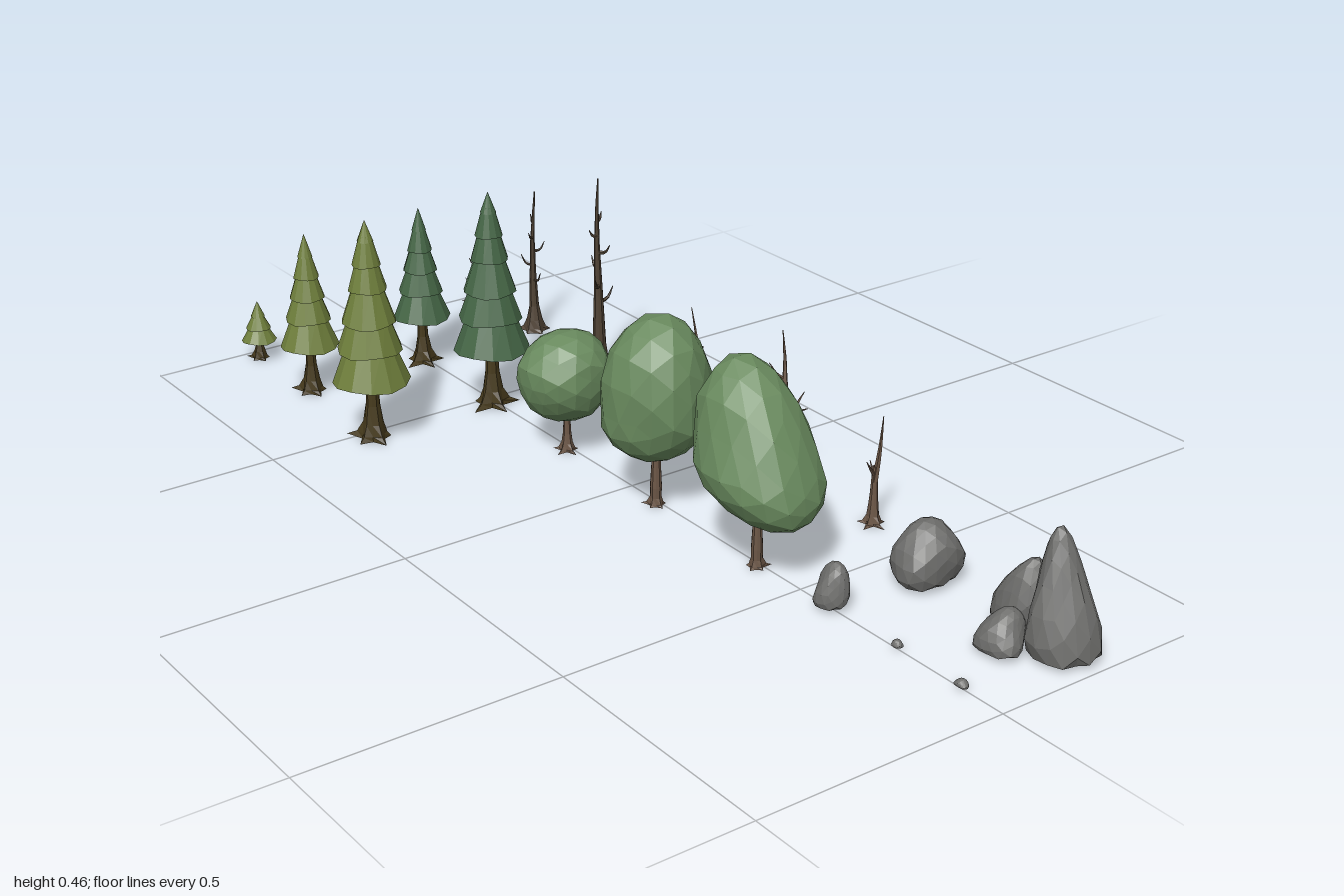
import * as THREE from 'three';

const mat = (color) => new THREE.MeshStandardMaterial({ color, flatShading: true, roughness: 1, side: THREE.DoubleSide });
const M = {
  olive: mat(0x6f7f3c), pine: mat(0x456646), leaf: mat(0x698a5e), pineBark: mat(0x463a1c),
  deadBark: mat(0x4f4234), bark: mat(0x6b5646), rock: mat(0x6d6d6b),
};

function add(parent, name, geometry, material) {
  const mesh = new THREE.Mesh(geometry, material);
  mesh.name = name;
  parent.add(mesh);
  return mesh;
}

function place(root, name, x, z) {
  const g = new THREE.Group();
  g.name = name;
  g.position.set(x, 0, z);
  root.add(g);
  return g;
}

// Move every vertex by a rule
function warp(geo, rule) {
  const p = geo.attributes.position, v = new THREE.Vector3();
  for (let i = 0; i < p.count; i++) {
    rule(v.fromBufferAttribute(p, i), i);
    p.setXYZ(i, v.x, v.y, v.z);
  }
  geo.computeVertexNormals();
  return geo;
}

// Trunk with star-shaped root flare: h height, r trunk radius, R root reach, tip radius
function trunkGeometry(h, r, R, tip, seed, bend = 0) {
  const pts = [[R, 0.003], [R * 0.62, R * 0.22], [Math.max(R * 0.38, r), R * 0.6], [r * 1.1, R * 1.25]];
  const y0 = R * 1.25;
  for (const t of [0.3, 0.6, 0.85, 1]) pts.push([r + (tip - r) * t, y0 + (h - y0) * t]);
  const n = 10;
  const geo = new THREE.LatheGeometry(pts.map(([x, y]) => new THREE.Vector2(x, y)), n);
  const lobe = [0.62, 0.42, 0.18, 0.08];
  return warp(geo, (v, i) => {
    const row = i % pts.length, k = Math.floor(i / pts.length) % n;
    const amount = lobe[row] ?? 0.05;
    const f = k % 2 ? 1 - amount : 1 - amount * 0.35 * (1 + Math.sin(k * 2.3 + seed));
    v.x *= f;
    v.z *= f;
    const t = v.y / h;
    v.x += bend * t * Math.sin(t * 5 + seed);
    v.z += bend * t * Math.cos(t * 4 + seed);
  });
}

// Tapered limb along a curve
function limbGeometry(points, r0, r1 = 0.0008) {
  const curve = new THREE.CatmullRomCurve3(points.map((p) => new THREE.Vector3(...p)));
  const seg = 6, sides = 5;
  const geo = new THREE.TubeGeometry(curve, seg, 1, sides);
  return warp(geo, (v, i) => {
    const t = Math.floor(i / (sides + 1)) / seg;
    const c = curve.getPointAt(t);
    v.sub(c).multiplyScalar(r0 + (r1 - r0) * t).add(c);
  });
}

// Conifer: stacked open skirts, each [bottom y, radius], around a trunk
function conifer(root, name, x, z, h, tiers, r, R, material) {
  const g = place(root, name, x, z);
  add(g, 'trunk', trunkGeometry(h * 0.8, r, R, r * 0.25, x * 9 + z), M.pineBark);
  tiers.forEach(([y, rad], i) => {
    const next = tiers[i + 1];
    const top = next ? next[0] + 0.012 * h / 0.46 : h;
    const rTop = next ? next[1] * 0.72 : 0.0003;
    const geo = new THREE.CylinderGeometry(rTop, rad, top - y, 12, 1, true);
    geo.translate(0, (top + y) / 2, 0);
    warp(geo, (v) => {
      if (v.y < y + 1e-4) v.y += 0.04 * rad * Math.sin(3 * Math.atan2(v.z, v.x) + i);
    });
    add(g, 'needleTier', geo, material).rotation.y = i * 0.4;
  });
}

// Faceted egg-shaped crown: w widest height, taper narrows the top, lean shifts it in z
function crownGeometry({ y0, w, y1, rx, rz, taper, lean, seed }) {
  return warp(new THREE.IcosahedronGeometry(1, 2), (v) => {
    const t = v.y;
    const n = 1 + 0.045 * Math.sin(4.1 * v.x + seed) * Math.cos(3.7 * v.z - seed) + 0.03 * Math.sin(6 * t + 5 * v.x + seed);
    const side = (t > 0 ? 1 - taper * t : 1) * n;
    v.set(v.x * rx * side, w + t * (t > 0 ? y1 - w : w - y0), v.z * rz * side + lean * t);
  });
}

// Stone: tapered, flat-footed faceted blob; px/pz shift the peak
function rockGeometry({ h, rx, rz, taper, px = 0, pz = 0, seed, base = 0.012 }) {
  return warp(new THREE.IcosahedronGeometry(1, 2), (v) => {
    const n = 1 + 0.08 * Math.sin(3.3 * v.x + 2 * v.y + seed) + 0.07 * Math.cos(4.2 * v.z - 2.5 * v.y + seed * 2);
    const t = (Math.max(v.y, -0.55) + 0.55) / 1.55;
    const widen = (1 - taper * t) * n;
    v.set(v.x * rx * widen + px * t, base + t * (h - base), v.z * rz * widen + pz * t);
  });
}

export function createModel() {
  const root = new THREE.Group();
  root.name = 'forestSet';

  // Conifers in three sizes and two colours
  const large = [[0.128, 0.077], [0.195, 0.064], [0.253, 0.054], [0.32, 0.038], [0.37, 0.028], [0.418, 0.016]];
  const medium = [[0.107, 0.06], [0.165, 0.046], [0.212, 0.036], [0.256, 0.026], [0.3, 0.015]];
  const small = [[0.046, 0.037], [0.073, 0.026], [0.099, 0.015]];
  for (const [label, xs, m] of [['olive', [-0.288, -0.277, -0.284], M.olive], ['green', [-0.009, -0.009, -0.009], M.pine]]) {
    conifer(root, label + 'ConiferLarge', xs[0], -0.474, 0.46, large, 0.014, 0.06, m);
    conifer(root, label + 'ConiferMedium', xs[1], -0.747, 0.348, medium, 0.011, 0.05, m);
    conifer(root, label + 'ConiferSmall', xs[2], -0.965, 0.133, small, 0.005, 0.034, m);
  }

  // Dead conifers: bare spikes with short stubs
  const spikes = [
    ['Large', 0.257, -0.474, 0.435, 0.014, 0.056, 6],
    ['Medium', 0.278, -0.75, 0.325, 0.01, 0.05, 5],
    ['Small', 0.262, -0.965, 0.125, 0.005, 0.036, 4],
  ];
  spikes.forEach(([size, x, z, h, r, R, count], s) => {
    const g = place(root, 'deadConifer' + size, x, z);
    add(g, 'trunk', trunkGeometry(h, r, R, 0.0015, s + 1, 0.004), M.deadBark);
    for (let i = 0; i < count; i++) {
      const a = i * 2.4 + s * 1.7, y = h * (0.38 + 0.5 * i / count), L = R * (0.65 - 0.07 * i);
      const c = Math.cos(a) * L, d = Math.sin(a) * L;
      const stub = limbGeometry([[0, y, 0], [c * 0.6, y + L * 0.1, d * 0.6], [c, y + L * 0.75, d]], r * 0.38);
      add(g, 'stub', stub, M.deadBark);
    }
  });

  // Broadleaf trees
  const crowns = [
    ['Large', 0.39, 0.0105, { y0: 0.105, w: 0.21, y1: 0.395, rx: 0.107, rz: 0.122, taper: 0.15, lean: -0.055, seed: 1 }],
    ['Medium', 0.09, 0.011, { y0: 0.1, w: 0.205, y1: 0.388, rx: 0.104, rz: 0.107, taper: -0.08, lean: 0.006, seed: 2.6 }],
    ['Small', -0.203, 0.008, { y0: 0.07, w: 0.16, y1: 0.257, rx: 0.095, rz: 0.088, taper: -0.06, lean: 0.005, seed: 4.4 }],
  ];
  for (const [size, z, r, shape] of crowns) {
    const g = place(root, 'broadleaf' + size, -0.01, z);
    add(g, 'trunk', trunkGeometry(shape.w, r, 0.032, r * 0.5, shape.seed), M.bark);
    add(g, 'crown', crownGeometry(shape), M.leaf);
  }

  // Dead broadleaf trees: trunk plus forked limbs
  const bare = [
    ['Medium', 0.312, 0.085, 0.011, 0.04, 0.13, [
      [[0, 0.1, 0], [-0.008, 0.16, -0.005], [-0.004, 0.21, -0.012], [-0.008, 0.272, -0.016]],
      [[0.002, 0.09, 0], [0.02, 0.108, -0.006], [0.052, 0.127, -0.018]],
      [[0, 0.1, 0], [-0.008, 0.118, 0.03], [-0.012, 0.14, 0.068]],
      [[0, 0.105, 0], [-0.02, 0.13, -0.03], [-0.03, 0.18, -0.062]],
      [[-0.005, 0.17, -0.008], [-0.022, 0.185, -0.014], [-0.036, 0.21, -0.02]]]],
    ['Small', 0.318, -0.208, 0.0075, 0.026, 0.1, [
      [[0, 0.08, 0], [0.003, 0.13, -0.008], [0.002, 0.215, -0.03]],
      [[0, 0.1, 0], [-0.006, 0.12, 0.015], [-0.008, 0.15, 0.022]],
      [[0, 0.085, 0], [-0.012, 0.1, -0.006], [-0.022, 0.125, -0.01]]]],
    ['Large', 0.267, 0.385, 0.009, 0.034, 0.12, [
      [[0, 0.09, 0], [0.004, 0.15, 0.006], [0.006, 0.222, 0.01]],
      [[0, 0.085, 0], [0.008, 0.1, -0.014], [0.014, 0.116, -0.03]],
      [[0, 0.1, 0], [-0.014, 0.118, 0.004], [-0.03, 0.14, 0.01]]]],
  ];
  bare.forEach(([size, x, z, r, R, h, limbs], s) => {
    const g = place(root, 'deadBroadleaf' + size, x, z);
    add(g, 'trunk', trunkGeometry(h, r, R, r * 0.55, s * 2 + 0.5), M.bark);
    limbs.forEach((pts, i) => add(g, 'limb', limbGeometry(pts, r * (i ? 0.45 : 0.75)), M.bark));
  });

  // Stones, pebbles and the three-stone outcrop
  const rocks = [
    ['tallStone', 0.203, 0.931, { h: 0.232, rx: 0.074, rz: 0.07, taper: 0.6, px: 0.008, pz: -0.035, seed: 0.4 }],
    ['middleStone', 0.207, 0.823, { h: 0.155, rx: 0.068, rz: 0.06, taper: 0.5, pz: 0.03, seed: 2 }],
    ['lowStone', 0.128, 0.856, { h: 0.082, rx: 0.046, rz: 0.048, taper: 0.35, px: 0.02, seed: 3.5 }],
    ['boulder', 0.196, 0.605, { h: 0.125, rx: 0.068, rz: 0.06, taper: 0.2, seed: 5 }],
    ['smallStone', -0.002, 0.58, { h: 0.09, rx: 0.032, rz: 0.036, taper: 0.25, px: 0.012, seed: 6.2 }],
    ['pebble', 0, 0.75, { h: 0.021, rx: 0.011, rz: 0.011, taper: 0.3, seed: 1, base: 0.008 }],
    ['pebble', 0, 0.905, { h: 0.021, rx: 0.011, rz: 0.015, taper: 0.3, seed: 4, base: 0.008 }],
  ];
  for (const [name, x, z, shape] of rocks) {
    add(root, name, rockGeometry(shape), M.rock).position.set(x, 0, z);
  }
  return root;
}
